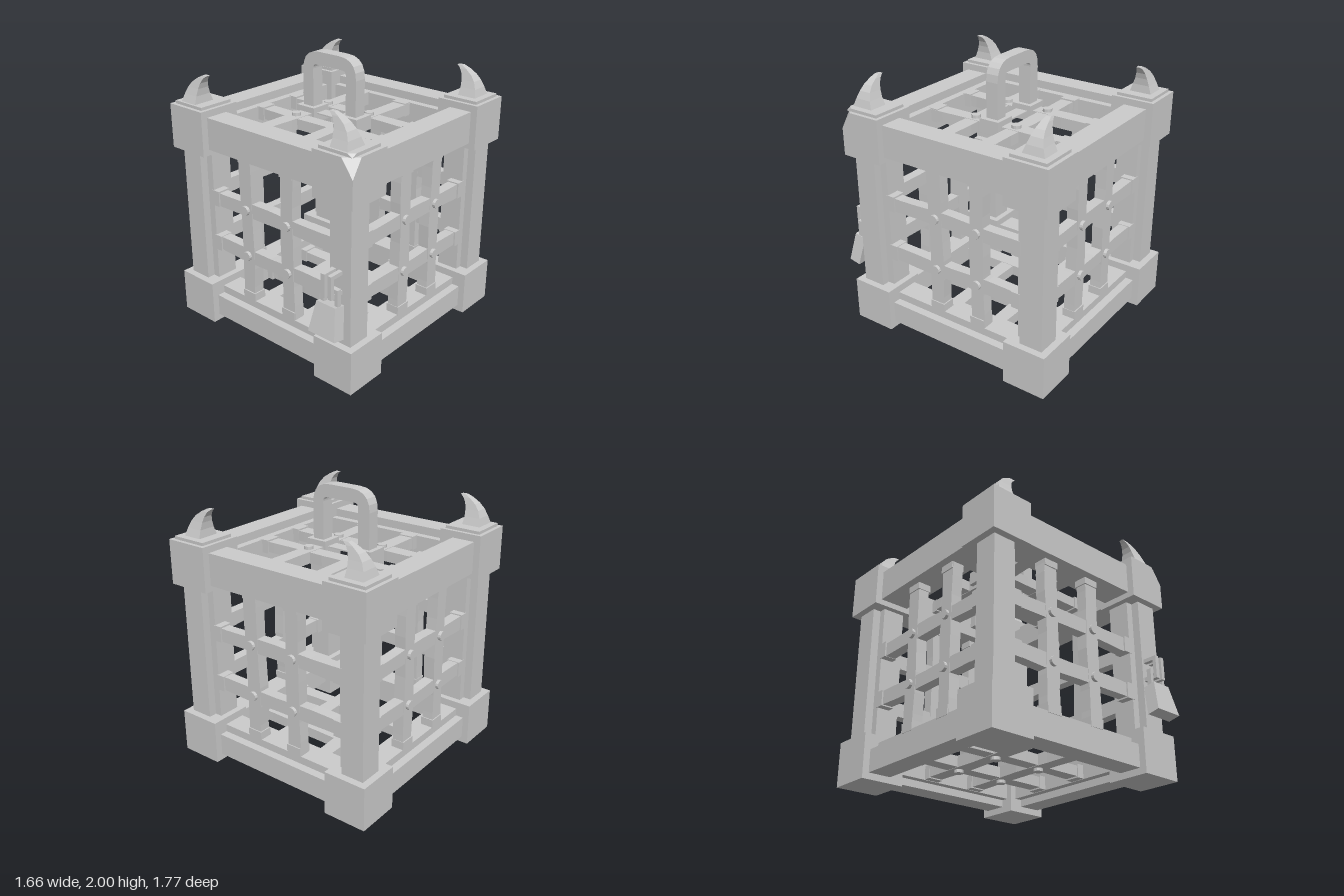
import * as THREE from 'three';
import { ConvexGeometry } from 'three/addons/geometries/ConvexGeometry.js';

const mat = new THREE.MeshStandardMaterial({ color: 0xcccccc, flatShading: true });

function add(parent, name, geometry, x = 0, y = 0, z = 0) {
  const mesh = new THREE.Mesh(geometry, mat);
  mesh.name = name;
  mesh.position.set(x, y, z);
  parent.add(mesh);
  return mesh;
}

// Box given by its extents on each axis
function slab(parent, name, [x0, x1], [y0, y1], [z0, z1]) {
  return add(parent, name, new THREE.BoxGeometry(x1 - x0, y1 - y0, z1 - z0),
    (x0 + x1) / 2, (y0 + y1) / 2, (z0 + z1) / 2);
}

// Box whose +x +y +z corner is sliced off by the distances a, b, c
function chippedBox(w, h, d, a, b, c) {
  const pts = [];
  for (const x of [-w / 2, w / 2]) for (const y of [-h / 2, h / 2]) for (const z of [-d / 2, d / 2]) {
    if (x > 0 && y > 0 && z > 0) {
      pts.push(new THREE.Vector3(x - a, y, z), new THREE.Vector3(x, y - b, z), new THREE.Vector3(x, y, z - c));
    } else pts.push(new THREE.Vector3(x, y, z));
  }
  return new ConvexGeometry(pts);
}

// Hand-forged bar along y with a slightly wandering centre line and width
function barGeometry(width, depth, seed) {
  const g = new THREE.BoxGeometry(width, 1.2, depth, 1, 8, 1);
  const p = g.attributes.position;
  for (let i = 0; i < p.count; i++) {
    const t = p.getY(i) * 6 + seed * 2.3;
    p.setX(i, p.getX(i) * (1 + 0.06 * Math.sin(t * 1.7)) + 0.005 * Math.sin(t));
  }
  return g;
}

// Lattice of two upright and two cross bars, facing +z
function lattice(name, xs, ys) {
  const g = new THREE.Group();
  g.name = name;
  xs.forEach((x, i) => {
    add(g, 'uprightBar', barGeometry(0.11, 0.084, i + 1), x, 0, 0);
    for (const s of [-1, 1]) add(g, 'barCollar', new THREE.BoxGeometry(0.118, 0.07, 0.1), x, s * 0.535, 0);
  });
  ys.forEach((y, i) => {
    add(g, 'crossBar', barGeometry(0.105, 0.078, i + 3.4), 0, y, 0).rotation.z = Math.PI / 2;
    for (const s of [-1, 1]) add(g, 'barCollar', new THREE.BoxGeometry(0.07, 0.118, 0.1), s * 0.535, y, 0);
    for (const x of xs) {
      add(g, 'rivet', new THREE.CylinderGeometry(0.034, 0.034, 0.04, 12), x, y, 0.045).rotation.x = Math.PI / 2;
    }
  });
  return g;
}

// Claw built from square sections: [y, outer x, inner x, half depth], curving toward +x
function hornGeometry() {
  const rows = [
    [0, -0.085, 0.055, 0.082], [0.055, -0.07, 0.05, 0.062], [0.105, -0.048, 0.055, 0.046],
    [0.145, -0.015, 0.066, 0.035], [0.18, 0.035, 0.088, 0.025], [0.2, 0.075, 0.115, 0.016],
  ];
  const pos = [], idx = [];
  for (const [y, a, b, d] of rows) pos.push(a, y, d, b, y, d, b, y, -d, a, y, -d);
  for (let r = 0; r < rows.length - 1; r++) for (let k = 0; k < 4; k++) {
    const a = r * 4 + k, b = r * 4 + (k + 1) % 4;
    idx.push(a, b, b + 4, a, b + 4, a + 4);
  }
  const t = (rows.length - 1) * 4;
  idx.push(t, t + 1, t + 2, t, t + 2, t + 3, 0, 2, 1, 0, 3, 2);
  const g = new THREE.BufferGeometry();
  g.setAttribute('position', new THREE.Float32BufferAttribute(pos, 3));
  g.setIndex(idx);
  g.computeVertexNormals();
  return g;
}

// Rounded arch outline, added to a shape or a hole
function arch(path, x0, x1, y0, y1, r) {
  path.moveTo(x0, y0);
  path.lineTo(x1, y0);
  path.lineTo(x1, y1 - r);
  path.quadraticCurveTo(x1, y1, x1 - r, y1);
  path.lineTo(x0 + r, y1);
  path.quadraticCurveTo(x0, y1, x0, y1 - r);
  path.closePath();
  return path;
}

export function createModel() {
  const model = new THREE.Group();
  model.name = 'cage';
  const cage = new THREE.Group();
  cage.name = 'cageBody';
  cage.position.set(-0.003, 0.83, -0.05);
  model.add(cage);

  // Four sides: stepped corner post, top and bottom beams, lattice
  const outer = [0.61, 0.783], inner = [0.555, 0.723], span = [-0.54, 0.54];
  const panels = [
    ['frontLattice', [-0.222, 0.168], [0.152, -0.206]],
    ['leftLattice', [-0.135, 0.215], [0.167, -0.23]],
    ['backLattice', [-0.212, 0.15], [0.165, -0.225]],
    ['rightLattice', [-0.17, 0.215], [0.158, -0.225]],
  ];
  panels.forEach((bars, i) => {
    const side = new THREE.Group();
    side.name = 'side';
    side.rotation.y = i * Math.PI / 2;
    slab(side, 'post', outer, span, outer);
    slab(side, 'postInnerStrip', inner, span, inner);
    slab(side, 'topBeam', span, [0.55, 0.783], outer);
    slab(side, 'topBeamInnerStrip', span, [0.55, 0.723], inner);
    slab(side, 'bottomBeam', span, [-0.783, -0.618], outer);
    slab(side, 'bottomBeamInnerStrip', span, [-0.73, -0.56], inner);
    const panel = lattice(...bars);
    panel.position.z = 0.677;
    side.add(panel);
    cage.add(side);
  });

  // Roof and floor lattices
  for (const s of [1, -1]) {
    const panel = s > 0 ? lattice('roofLattice', [-0.225, 0.165], [0.15, -0.195])
      : lattice('floorLattice', [-0.225, 0.165], [0.16, -0.235]);
    panel.rotation.x = -s * Math.PI / 2;
    panel.position.y = s * 0.677;
    cage.add(panel);
  }

  // Corner blocks, caps and horns; one upper block is chipped
  const horn = hornGeometry();
  for (const sx of [-1, 1]) for (const sz of [-1, 1]) {
    const x = sx * 0.67, z = sz * 0.672, chipped = sx > 0 && sz > 0;
    add(cage, 'bottomCornerBlock', new THREE.BoxGeometry(0.325, 0.325, 0.325), x, -0.6675, z);
    add(cage, 'topCornerBlock', chipped ? chippedBox(0.325, 0.325, 0.325, 0.09, 0.125, 0.08)
      : new THREE.BoxGeometry(0.325, 0.325, 0.325), x, 0.67, z);
    add(cage, 'cornerCap', chipped ? chippedBox(0.27, 0.022, 0.27, 0.04, 0.022, 0.04)
      : new THREE.BoxGeometry(0.27, 0.022, 0.27), x, 0.843, z);
    const h = add(cage, 'horn', horn, x, 0.854, sz > 0 ? 0.71 : -0.677);
    h.rotation.y = sx > 0 ? Math.PI : 0;
  }

  // Carrying handle on two feet
  const shape = arch(new THREE.Shape(), -0.275, 0.213, 1.54, 2, 0.15);
  shape.holes.push(arch(new THREE.Path(), -0.18, 0.123, 1.55, 1.905, 0.035));
  add(model, 'handle', new THREE.ExtrudeGeometry(shape, { depth: 0.096, bevelEnabled: false, curveSegments: 5 }), 0, 0, -0.08);
  for (const x of [-0.228, 0.167]) {
    add(model, 'handleFoot', new THREE.BoxGeometry(0.165, 0.1, 0.16), x, 1.54, -0.03);
  }

  // Pair of staples on the front post
  for (const x of [[0.622, 0.655], [0.68, 0.71]]) {
    slab(model, 'stapleTop', x, [0.842, 0.87], [0.7, 0.842]);
    slab(model, 'stapleFront', x, [0.7, 0.87], [0.815, 0.842]);
    slab(model, 'stapleBottom', x, [0.7, 0.73], [0.7, 0.842]);
  }

  // Padlock: tapered body hanging at a tilt, with a square shackle
  const padlock = new THREE.Group();
  padlock.name = 'padlock';
  const body = new THREE.BoxGeometry(0.225, 0.225, 0.092);
  const p = body.attributes.position;
  for (let i = 0; i < p.count; i++) if (p.getY(i) > 0) p.setX(i, p.getX(i) * 0.7);
  const lockBody = add(padlock, 'lockBody', body, 0.663, 0.538, 0.82);
  lockBody.rotation.x = -0.21;
  for (const x of [[0.594, 0.62], [0.712, 0.738]]) slab(padlock, 'shackleLeg', x, [0.63, 0.77], [0.778, 0.812]);
  slab(padlock, 'shackleTop', [0.594, 0.738], [0.738, 0.77], [0.778, 0.812]);
  model.add(padlock);
  return model;
}
